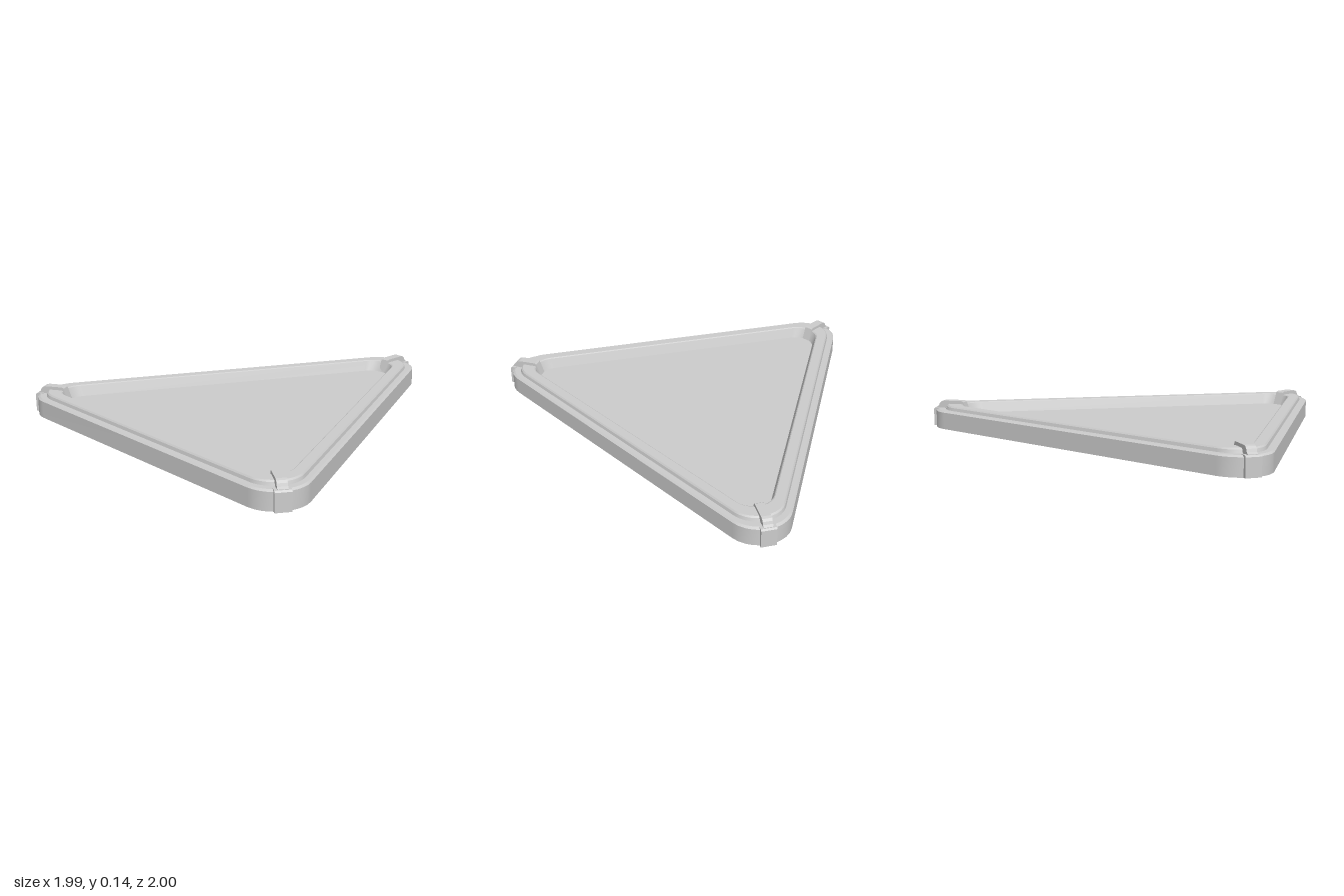
import * as THREE from 'three';
import { mergeGeometries } from 'three/addons/utils/BufferGeometryUtils.js';

const grey = new THREE.MeshStandardMaterial({ color: 0xcccccc });

// Outward normals and distances of the three sides: right, front, left
const sides = [
  { x: 0.895, z: -0.446, k: 0.533 },
  { x: 0, z: 1, k: 0.998 },
  { x: -0.895, z: -0.446, k: 0.533 },
];
const ARC = 10;

// Centre of the rounding between two sides, for an inset d and radius r
function cornerCentre(a, b, d, r) {
  const p = a.k - d - r, q = b.k - d - r, det = a.x * b.z - a.z * b.x;
  return { x: (p * b.z - a.z * q) / det, z: (a.x * q - p * b.x) / det };
}

const radiusAt = (d) => 0.168 - 0.58 * d;

// Rounded triangle at inset d and height y; d = null collapses it to the middle
function ring([d, y]) {
  const points = [];
  for (let i = 0; i < 3; i++) {
    const a = sides[(i + 2) % 3], b = sides[i];
    const r = radiusAt(d ?? 0), c = cornerCentre(a, b, d ?? 0, r);
    const start = Math.atan2(a.z, a.x);
    let sweep = Math.atan2(b.z, b.x) - start;
    if (sweep < 0) sweep += 2 * Math.PI;
    for (let j = 0; j <= ARC; j++) {
      const t = start + (sweep * j) / ARC;
      points.push(d === null
        ? [0, y, 0.3]
        : [c.x + r * Math.cos(t), y, c.z + r * Math.sin(t)]);
    }
  }
  return points;
}

// Surface strip between two rings, with its own vertices so profile edges stay sharp
function band(p, q) {
  const lower = ring(p), upper = ring(q), n = lower.length, index = [];
  for (let i = 0; i < n; i++) {
    const j = (i + 1) % n;
    if (q[0] === null) index.push(i, n + i, j);
    else if (p[0] === null) index.push(j, n + i, n + j);
    else index.push(i, n + i, j, j, n + i, n + j);
  }
  const g = new THREE.BufferGeometry();
  g.setAttribute('position', new THREE.Float32BufferAttribute([...lower, ...upper].flat(), 3));
  g.setIndex(index);
  g.computeVertexNormals();
  return g;
}

function sweep(name, profile) {
  const bands = profile.slice(1).map((q, i) => band(profile[i], q));
  const mesh = new THREE.Mesh(mergeGeometries(bands), grey);
  mesh.name = name;
  return mesh;
}

// Extruded side profile, centred across its width
function plate(name, points, width) {
  const shape = new THREE.Shape(points.map(([x, y]) => new THREE.Vector2(x, y)));
  const g = new THREE.ExtrudeGeometry(shape, { depth: width, bevelEnabled: false });
  g.translate(0, 0, -width / 2);
  const mesh = new THREE.Mesh(g, grey);
  mesh.name = name;
  return mesh;
}

// Clip over a corner: local x points outward, with the rim's tip at x = 0
function cornerClip(name, s) {
  const clip = new THREE.Group();
  clip.name = name;
  clip.add(
    plate('clipPlate', [[-0.03, 0], [0.013, 0], [0.013, 0.094], [0.006, 0.102], [-0.03, 0.102]], 0.08),
    plate('clipStrap', [
      [0.002, 0.09], [0.002, 0.104], [-0.01, 0.112], [-0.016, 0.126], [-0.026, 0.136], [-0.042, 0.14],
      [-0.148 * s, 0.14], [-0.158 * s, 0.134], [-0.187 * s, 0.055],
      [-0.155 * s, 0.055], [-0.132 * s, 0.108], [-0.06, 0.108], [-0.03, 0.09],
    ], 0.05),
  );
  return clip;
}

export function createModel() {
  const model = new THREE.Group();
  model.name = 'triangularTray';

  // Stepped rim, outside wall to inside lip
  model.add(sweep('rim', [
    [0, 0], [0, 0.092], [0.01, 0.1], [0.036, 0.1], [0.04, 0.116],
    [0.046, 0.123], [0.096, 0.123], [0.102, 0.119], [0.121, 0.065],
  ]));

  // Recessed floor
  model.add(sweep('floor', [[0.121, 0.065], [null, 0.065]]));

  // Underside: slab bottom, hollow channel, inner ledge and wall foot
  model.add(sweep('underside', [
    [null, 0.015], [0.116, 0.015], [0.094, 0.108], [0.048, 0.108],
    [0.042, 0.085], [0.03, 0.065], [0.014, 0.06], [0.014, 0], [0, 0],
  ]));

  // One clip on each corner, facing outward
  ['backClip', 'leftClip', 'rightClip'].forEach((name, i) => {
    const a = sides[(i + 2) % 3], b = sides[i];
    const out = new THREE.Vector2(a.x + b.x, a.z + b.z).normalize();
    const r = radiusAt(0), c = cornerCentre(a, b, 0, r);
    const clip = cornerClip(name, i === 0 ? 1 : 0.93);
    clip.position.set(c.x + out.x * r, 0, c.z + out.y * r);
    clip.rotation.y = Math.atan2(-out.y, out.x);
    model.add(clip);
  });

  return model;
}
